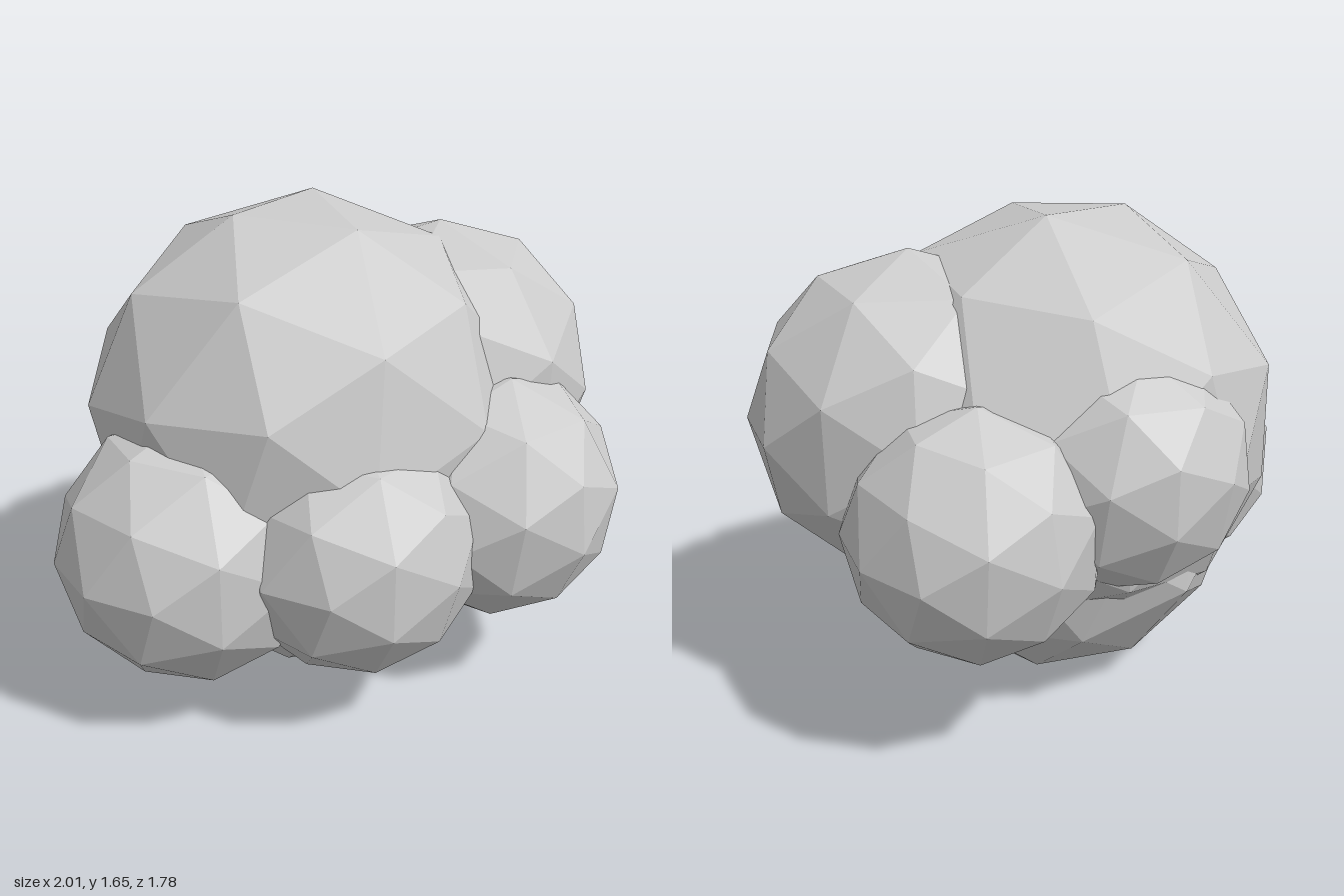
import * as THREE from 'three';

// name, centre, radius, turn of the facets
const LOBES = [
  ['crownLobe', [-0.05, 0.925, -0.03], 0.75, [-0.14, 0.4, -0.18]],
  ['baseLobe', [-0.05, 0.63, -0.02], 0.63, [0, 0.9, 0]],
  ['leftLobe', [0.46, 0.99, 0.03], 0.55, [0, -0.33, 0]],
  ['rightLobe', [-0.57, 0.61, 0.17], 0.45, [0, 0.35, 0]],
  ['frontCentreLobe', [-0.13, 0.64, 0.46], 0.425, [0, 0.34, 0]],
  ['frontLeftLobe', [0.41, 0.71, 0.47], 0.43, [0.17, 0.15, 0]],
  ['backLeftLobe', [0.46, 0.77, -0.48], 0.41, [-0.1, 0.25, 0]],
  ['backCentreLobe', [-0.05, 0.9, -0.5], 0.4, [-0.24, -0.1, 0]],
];

export function createModel() {
  const model = new THREE.Group();
  model.name = 'foliageCluster';
  const material = new THREE.MeshStandardMaterial({ color: 0xcccccc, flatShading: true });

  // Overlapping low-poly balls
  for (const [name, centre, radius, turn] of LOBES) {
    const lobe = new THREE.Mesh(new THREE.IcosahedronGeometry(radius, 1), material);
    lobe.name = name;
    lobe.position.set(...centre);
    lobe.rotation.set(...turn);
    model.add(lobe);
  }
  return model;
}
